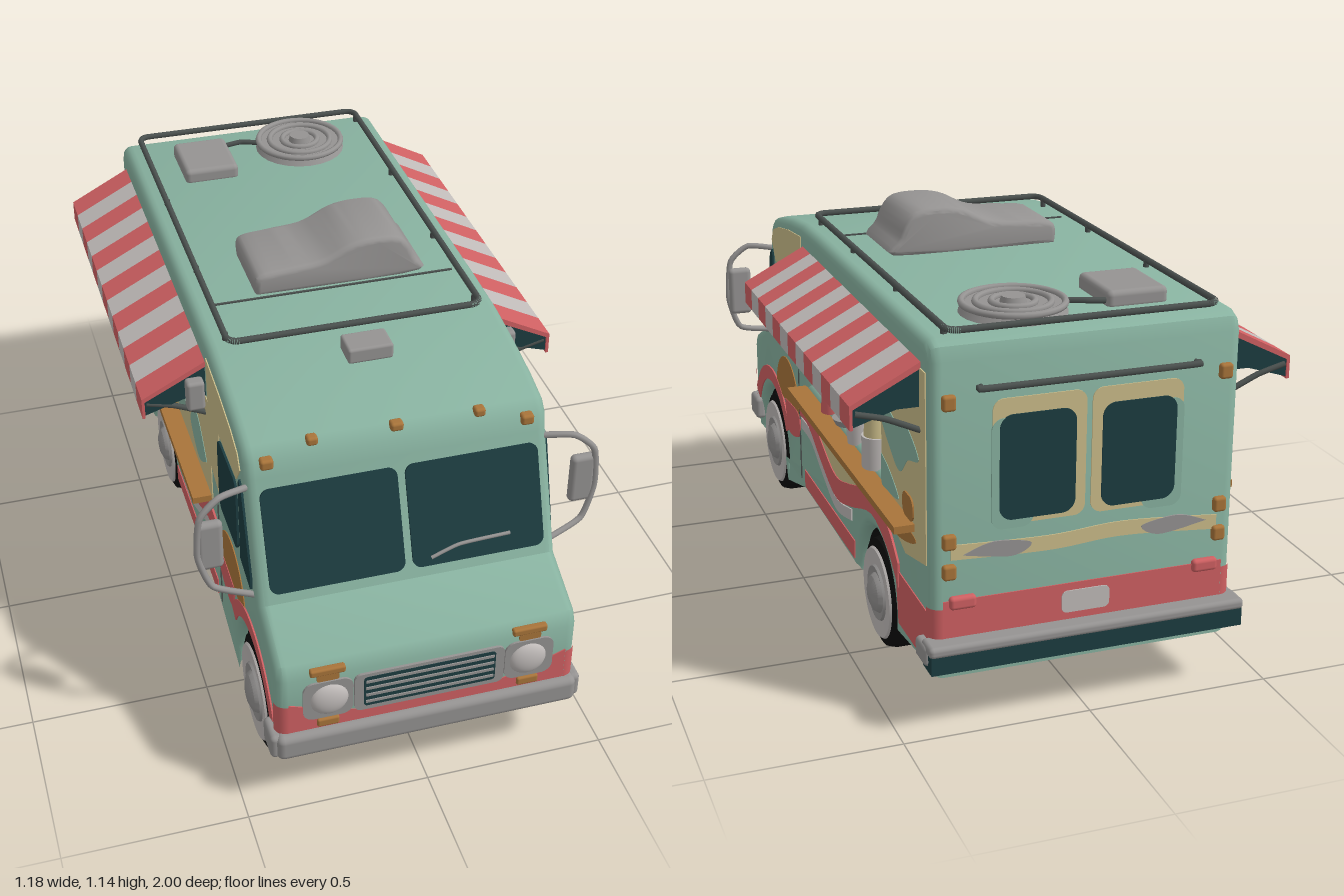
import * as THREE from 'three';
import { toCreasedNormals } from 'three/addons/utils/BufferGeometryUtils.js';
import { RoundedBoxGeometry } from 'three/addons/geometries/RoundedBoxGeometry.js';

const mat = (name, color, side = THREE.FrontSide) => {
  const m = new THREE.MeshStandardMaterial({ color, side });
  m.name = name;
  return m;
};
const V = (p) => new THREE.Vector2(p[0], p[1]);

// Shape helpers
const poly = (pts) => new THREE.Shape(pts.map(V));
const blob = (pts) => new THREE.Shape(new THREE.SplineCurve([...pts, pts[0]].map(V)).getPoints(40).slice(0, -1));
function ribbon(pts, w) {
  const c = new THREE.SplineCurve(pts.map(V)).getPoints(28);
  return poly([...c.map((p) => [p.x, p.y + w / 2]), ...c.reverse().map((p) => [p.x, p.y - w / 2])]);
}
function roundRect(cx, cy, w, h, r) {
  const s = new THREE.Shape(), a = w / 2 - r, b = h / 2 - r, q = Math.PI / 2;
  [[a, b], [-a, b], [-a, -b], [a, -b]].forEach(([x, y], i) => s.absarc(cx + x, cy + y, r, i * q, (i + 1) * q));
  return s;
}
const extrude = (shape, depth, opt = {}) =>
  toCreasedNormals(new THREE.ExtrudeGeometry(shape, { depth, bevelEnabled: false, curveSegments: 16, ...opt }), 0.7);

export function createModel() {
  const mint = mat('mint paint', 0x88b2a0), red = mat('coral red', 0xcf6062), cream = mat('cream', 0xcbbd8a);
  const orange = mat('amber wood', 0xa8743a), glass = mat('dark teal glass', 0x1c3c40), grey = mat('grey metal', 0x959392);
  const pale = mat('pale white', 0xc0bbb9), black = mat('black', 0x0c0c0c, THREE.DoubleSide), dark = mat('dark metal', 0x4a504e);
  const truck = new THREE.Group();
  truck.name = 'foodTruck';

  const add = (name, geo, m, x = 0, y = 0, z = 0) => {
    const mesh = new THREE.Mesh(geo, m);
    mesh.name = name;
    mesh.position.set(x, y, z);
    truck.add(mesh);
    return mesh;
  };
  const box = (name, m, w, h, d, x, y, z, r = 0) =>
    add(name, r ? new RoundedBoxGeometry(w, h, d, 3, r) : new THREE.BoxGeometry(w, h, d), m, x, y, z);
  const cyl = (name, m, r1, r2, h, x, y, z) => add(name, new THREE.CylinderGeometry(r1, r2, h, 24), m, x, y, z);
  const tube = (name, m, pts, r) =>
    add(name, new THREE.TubeGeometry(new THREE.CatmullRomCurve3(pts.map((p) => new THREE.Vector3(...p)), false, 'catmullrom', 0.3), 48, r, 8), m);

  // Thin painted plates on the sides, front and back
  const thick = (layer) => 0.003 + 0.0015 * layer;
  const sidePlate = (name, shape, m, s, layer = 0) => {
    const d = thick(layer);
    add(name, extrude(shape, d).rotateY(-Math.PI / 2), m, s > 0 ? 0.41 + d : -0.41);
  };
  const frontPlate = (name, shape, m, layer = 0) => add(name, extrude(shape, thick(layer)), m, 0, 0, 0.975);
  const backPlate = (name, shape, m, layer = 0) => add(name, extrude(shape, thick(layer)), m, 0, 0, -0.95 - thick(layer));
  // Paint wrapped round a vertical body corner
  const cornerPaint = (name, m, s, z, y0, y1, start) =>
    add(name, new THREE.CylinderGeometry(0.0335, 0.0335, y1 - y0, 8, 1, true, start, Math.PI / 2), m, s * 0.38, (y0 + y1) / 2, z);

  // Body shell: side profile with wheel arches and the serving hatch
  const wheels = [{ z: 0.715, r: 0.165, arch: 0.178 }, { z: -0.47, r: 0.155, arch: 0.168 }];
  const profile = new THREE.Shape();
  profile.moveTo(-0.95, 0.14);
  for (const w of [wheels[1], wheels[0]]) {
    profile.lineTo(w.z - w.arch * Math.cos(0.17), 0.14);
    profile.absarc(w.z, 0.17, w.arch, Math.PI + 0.17, -0.17, true);
  }
  [[0.945, 0.14], [0.975, 0.19], [0.975, 0.44], [0.955, 0.478], [0.80, 0.55], [0.68, 0.87], [0.672, 0.915], [0.64, 0.95],
    [0.55, 0.975], [0.42, 0.998], [0.28, 1.015], [0.1, 1.02], [-0.9, 1.02], [-0.935, 1.005], [-0.95, 0.97]]
    .forEach((p) => profile.lineTo(...p));
  profile.holes.push(new THREE.Path([[-0.52, 0.525], [-0.52, 0.795], [0.24, 0.795], [0.24, 0.525]].map(V)));
  add('body', extrude(profile, 0.76, { bevelEnabled: true, bevelThickness: 0.03, bevelSize: 0.03, bevelOffset: -0.03, bevelSegments: 4 })
    .rotateY(-Math.PI / 2), mint, 0.38);

  // Kitchen interior, open towards the hatch
  const room = new THREE.BoxGeometry(0.78, 0.266, 0.756);
  room.setIndex([...room.index.array].slice(6));
  add('kitchenInterior', room, black, 0, 0.66, -0.14);
  box('kitchenCabinet', dark, 0.1, 0.14, 0.1, 0.3, 0.62, 0.17);
  for (const z of [0.1, -0.12, -0.34]) cyl('hangingLamp', orange, 0.012, 0.035, 0.05, 0.25, 0.75, z);
  cyl('sauceBottle', red, 0.03, 0.036, 0.12, 0.39, 0.575, 0.02);
  cyl('cup', pale, 0.036, 0.03, 0.08, 0.39, 0.555, -0.245);
  cyl('jar', pale, 0.042, 0.042, 0.09, 0.39, 0.56, -0.43);
  cyl('jarFilling', cream, 0.032, 0.036, 0.055, 0.39, 0.632, -0.43);
  cyl('plate', grey, 0.05, 0.04, 0.02, 0.38, 0.535, -0.12);

  // Chassis and wheel wells
  box('chassis', black, 0.54, 0.28, 1.8, 0, 0.26, 0);
  for (const [a, b] of [[-0.92, -0.645], [-0.295, 0.53], [0.9, 0.94]]) box('underside', black, 0.77, 0.012, b - a, 0, 0.138, (a + b) / 2);
  for (const w of wheels) {
    add('wheelWell', new THREE.CylinderGeometry(w.arch - 0.003, w.arch - 0.003, 0.77, 32, 1, true, 0, Math.PI)
      .rotateZ(Math.PI / 2), black, 0, 0.17, w.z);
    cyl('axle', black, 0.03, 0.03, 0.6, 0, w.r, w.z).rotation.z = Math.PI / 2;
    // Tyre, whitewall ring and domed hub
    const lathe = (name, pts, m, s) => {
      const mesh = add(name, toCreasedNormals(new THREE.LatheGeometry(pts.map(V), 40), 0.6), m, s * 0.345, w.r + 0.004, w.z);
      mesh.rotation.z = -s * Math.PI / 2;
      mesh.scale.set(w.r / 0.165, 1, w.r / 0.165);
    };
    for (const s of [1, -1]) {
      lathe('tyre', [[0, -0.062], [0.14, -0.062], [0.158, -0.052], [0.165, -0.03], [0.165, 0.03], [0.158, 0.052], [0.14, 0.06], [0, 0.06]], black, s);
      lathe('whitewall', [[0.138, 0.058], [0.132, 0.066], [0.08, 0.062]], pale, s);
      lathe('hub', [[0.085, 0.06], [0.08, 0.069], [0.06, 0.064], [0.052, 0.076], [0.03, 0.085], [0, 0.088]], grey, s);
    }
  }

  for (const s of [1, -1]) {
    // Side mural
    sidePlate('creamCabPanel', poly([[0.27, 0.98], [0.42, 0.965], [0.55, 0.942], [0.62, 0.918], [0.645, 0.88], [0.6, 0.82], [0.4, 0.82], [0.37, 0.6], [0.28, 0.63]]), cream, s);
    const rear = s > 0 ? -0.92 : -0.84;
    sidePlate('creamRearPanel', poly([[-0.55, 0.94], [rear, 0.94], [rear, 0.44], [-0.75, 0.4], [-0.55, 0.47]]), cream, s);
    sidePlate('mintCloud', blob([[-0.55, 0.7], [-0.6, 0.75], [-0.68, 0.735], [-0.77, 0.755], [-0.87, 0.7], [-0.78, 0.665], [-0.71, 0.61], [-0.62, 0.65]]), mint, s, 1);
    sidePlate('mintRearPatch', blob([[-0.55, 0.6], [-0.62, 0.58], [-0.7, 0.53], [-0.6, 0.515], [-0.55, 0.52]]), mint, s, 1);
    const sun = new THREE.Shape();
    sun.absarc(0.5, 0.38, 0.148, 0, Math.PI);
    sidePlate('orangeSun', sun, orange, s);
    const fender = new THREE.Shape();
    fender.absarc(0.715, 0.17, 0.255, 0.45, Math.PI - 0.5);
    fender.absarc(0.715, 0.17, 0.209, Math.PI - 0.5, 0.45, true);
    sidePlate('redFender', fender, red, s, 1);
    sidePlate('redDoorPatch', blob([[0.53, 0.385], [0.36, 0.39], [0.355, 0.32], [0.44, 0.29], [0.5, 0.3]]), red, s, 1);
    sidePlate('orangeBand', blob([[-0.25, 0.47], [-0.55, 0.487], [-0.84, 0.475], [-0.7, 0.425], [-0.5, 0.43]]), orange, s, 1);
    sidePlate('creamWave', ribbon([[0.18, 0.46], [0, 0.395], [-0.15, 0.385], [-0.32, 0.44]], 0.06), cream, s);
    sidePlate('redWave', ribbon([[0.33, 0.43], [0.22, 0.43], [0.08, 0.37], [-0.08, 0.32], [-0.24, 0.355], [-0.45, 0.42], [-0.6, 0.38], [-0.69, 0.31]], 0.068), red, s, 2);
    sidePlate('paleWave', ribbon([[0.32, 0.375], [0.2, 0.37], [0.06, 0.31], [-0.08, 0.265], [-0.24, 0.295]], 0.035), pale, s, 1);
    sidePlate('redSill', poly([[0.3, 0.17], [0.3, 0.225], [-0.262, 0.225], [-0.262, 0.17]]), red, s);
    sidePlate('redRearSkirt', poly([[-0.682, 0.17], [-0.66, 0.32], [-0.92, 0.315], [-0.92, 0.17]]), red, s);
    sidePlate('doorSeam', poly([[0.345, 0.18], [0.35, 0.18], [0.35, 0.54], [0.345, 0.54]]), dark, s);
    cornerPaint('redFrontCorner', red, s, 0.945, 0.26, 0.355, s > 0 ? 0 : -Math.PI / 2);
    cornerPaint('redRearCorner', red, s, -0.92, 0.18, 0.33, s > 0 ? Math.PI / 2 : Math.PI);

    // Cab windows
    sidePlate('doorWindow', roundRect(0.495, 0.69, 0.21, 0.23, 0.03), glass, s, 2);
    sidePlate('quarterWindow', poly([[0.63, 0.58], [0.735, 0.56], [0.74, 0.6], [0.665, 0.83], [0.64, 0.85], [0.63, 0.83]]), glass, s, 2);

    // Striped awning with a front drop, end panels and arms
    const mirror = (pts) => poly(pts.map(([x, y]) => [x * s, y]));
    const cloth = mirror([[0.41, 0.955], [0.588, 0.862], [0.588, 0.8], [0.58, 0.8], [0.58, 0.852], [0.41, 0.938]]);
    const stripe = 1.13 / 13;
    for (let i = 0; i < 13; i++) add('awningStripe', extrude(cloth, stripe), i % 2 ? pale : red, 0, 0, -0.88 + i * stripe);
    const end = mirror([[0.41, 0.938], [0.58, 0.852], [0.58, 0.805], [0.47, 0.84], [0.41, 0.84]]);
    for (const z of [0.238, -0.876]) {
      add('awningEnd', extrude(end, 0.006), glass, 0, 0, z);
      tube('awningArm', dark, [[s * 0.41, 0.78, z], [s * 0.5, 0.82, z], [s * 0.575, 0.84, z]], 0.008);
    }
    box('sideLamp', grey, 0.05, 0.09, 0.04, s * 0.445, 0.87, 0.27, 0.01);

    // Serving shelf
    box('servingShelf', orange, 0.06, 0.02, 1.1, s * 0.437, 0.503, -0.28);
    sidePlate('servingBoard', roundRect(-0.785, 0.545, 0.085, 0.065, 0.025), orange, s, 3);

    // Wing mirror on a looped arm
    tube('mirrorArm', grey, [[s * 0.4, 0.845, 0.67], [s * 0.48, 0.85, 0.7], [s * 0.535, 0.8, 0.71], [s * 0.545, 0.68, 0.71], [s * 0.51, 0.58, 0.72], [s * 0.4, 0.55, 0.75]], 0.009);
    box('mirrorHead', grey, 0.07, 0.15, 0.03, s * 0.51, 0.705, 0.7, 0.014);

    // Windscreen pane
    const pane = add('windscreen', extrude(roundRect(s * 0.193, 0, 0.365, 0.285, 0.025), 0.006), glass, 0, 0.71, 0.74);
    pane.rotation.x = -0.359;

    // Headlamps and indicators
    frontPlate('redFrontBand', poly([[0, 0.2], [0, 0.3], [0.2 * s, 0.3], [0.3 * s, 0.33], [0.38 * s, 0.36], [0.38 * s, 0.2]]), red);
    frontPlate('lampSurround', roundRect(s * 0.275, 0.36, 0.135, 0.125, 0.03), grey, 2);
    const lamp = add('headlamp', new THREE.SphereGeometry(0.052, 24, 16), pale, s * 0.272, 0.36, 0.976);
    lamp.scale.z = 0.45;
    box('upperIndicator', orange, 0.095, 0.022, 0.02, s * 0.275, 0.453, 0.97, 0.006);
    frontPlate('indicatorBase', roundRect(s * 0.275, 0.435, 0.06, 0.02, 0.006), orange, 1);
    box('lowerIndicator', orange, 0.06, 0.026, 0.02, s * 0.275, 0.282, 0.976, 0.006);
    box('markerLamp', orange, 0.035, 0.03, 0.03, s * 0.35, 0.912, 0.672, 0.008);
    box('markerLamp', orange, 0.03, 0.025, 0.03, s * 0.225, 0.945, 0.65, 0.008);

    // Rear doors and lamps
    backPlate('rearWindowTrim', roundRect(s * 0.13, 0.7, 0.245, 0.33, 0.03), cream, 0);
    backPlate('rearDoorPaint', roundRect(s * 0.2, 0.67, 0.11, 0.29, 0.03), mint, 1);
    backPlate('rearWindow', roundRect(s * 0.135, 0.685, 0.2, 0.275, 0.035), glass, 2);
    for (const y of [0.87, 0.51, 0.43]) box('rearMarker', orange, 0.035, 0.04, 0.025, s * 0.365, y, -0.953, 0.008);
    box('tailLamp', red, 0.07, 0.035, 0.025, s * 0.33, 0.345, -0.953, 0.01);
    backPlate('greyPatch', blob([[s * 0.33, 0.47], [s * 0.25, 0.495], [s * 0.15, 0.48], [s * 0.2, 0.45]]), grey, 1);
  }
  box('markerLamp', orange, 0.035, 0.025, 0.03, 0, 0.945, 0.65, 0.008);
  tube('wiper', grey, [[0.06, 0.6, 0.79], [0.14, 0.625, 0.785], [0.28, 0.63, 0.783]], 0.005);

  // Closed panel on the side without a hatch
  sidePlate('closedPanel', poly([[0.28, 0.48], [0.28, 0.84], [-0.56, 0.84], [-0.56, 0.48]]), cream, -1);
  for (const z of [0.12, -0.14, -0.4]) sidePlate('mintPatch', blob([[z + 0.11, 0.6], [z, 0.69], [z - 0.1, 0.61], [z, 0.54]]), mint, -1, 1);

  // Grille and bumpers
  frontPlate('grilleFrame', roundRect(0, 0.36, 0.41, 0.125, 0.02), grey, 3);
  frontPlate('grilleOpening', roundRect(0, 0.362, 0.36, 0.1, 0.01), glass, 4);
  for (let i = 0; i < 4; i++) box('grilleBar', grey, 0.35, 0.008, 0.008, 0, 0.328 + i * 0.023, 0.983);
  box('frontBumper', grey, 0.83, 0.08, 0.06, 0, 0.222, 0.97, 0.02);
  box('rearBumper', grey, 0.86, 0.03, 0.075, 0, 0.235, -0.962, 0.012);
  box('rearBumperStep', glass, 0.85, 0.05, 0.068, 0, 0.2, -0.962);
  for (const s of [1, -1]) {
    box('frontBumperEnd', grey, 0.035, 0.075, 0.09, s * 0.413, 0.222, 0.94, 0.014);
    box('rearBumperEnd', grey, 0.03, 0.055, 0.08, s * 0.42, 0.215, -0.93, 0.012);
  }

  // Back panel details
  backPlate('redBackBand', poly([[-0.38, 0.18], [0.38, 0.18], [0.38, 0.35], [-0.38, 0.35]]), red);
  backPlate('creamBackStripe', ribbon([[-0.36, 0.46], [-0.1, 0.48], [0.1, 0.47], [0.36, 0.48]], 0.04), cream);
  backPlate('rearPlate', roundRect(0, 0.3, 0.13, 0.06, 0.015), pale, 2);
  tube('rearRail', dark, [[-0.28, 0.9, -0.95], [-0.27, 0.9, -0.965], [0.27, 0.9, -0.965], [0.28, 0.9, -0.95]], 0.009);

  // Roof rail with posts and a cross seam
  const rail = roundRect(0, -0.31, 0.71, 1.22, 0.03).getPoints(6).map((p) => new THREE.Vector3(p.x, 1.038, p.y));
  rail.forEach((a, i) => {
    const b = rail[(i + 1) % rail.length];
    if (a.distanceTo(b) > 1e-4) add('roofRail', new THREE.TubeGeometry(new THREE.LineCurve3(a, b), 1, 0.009, 8), dark);
  });
  for (const x of [-0.352, 0.352]) for (const z of [0.25, -0.1, -0.5, -0.88]) cyl('railPost', dark, 0.008, 0.008, 0.035, x, 1.02, z);
  box('roofSeam', dark, 0.69, 0.006, 0.006, 0, 1.021, 0.085);

  // Roof equipment
  const hood = blob([[-0.22, 1.015], [-0.215, 1.075], [-0.13, 1.088], [-0.03, 1.098], [0.05, 1.135], [0.12, 1.146], [0.2, 1.135], [0.24, 1.07], [0.235, 1.015]]);
  add('roofVentHood', extrude(hood, 0.21, { bevelEnabled: true, bevelThickness: 0.02, bevelSize: 0.015, bevelOffset: -0.015, bevelSegments: 3 }), grey, 0, 0, -0.16);
  box('rearRoofVent', grey, 0.165, 0.05, 0.2, -0.185, 1.035, -0.715, 0.015);
  box('frontRoofBox', grey, 0.125, 0.045, 0.085, 0, 1.02, 0.39, 0.008);
  cyl('fanBase', grey, 0.125, 0.14, 0.025, 0.13, 1.03, -0.76);
  for (const r of [0.13, 0.095, 0.055]) add('fanRing', new THREE.TorusGeometry(r, 0.009, 8, 40).rotateX(Math.PI / 2), grey, 0.13, 1.045, -0.76);
  cyl('fanHub', grey, 0.03, 0.035, 0.02, 0.13, 1.05, -0.76);
  tube('fanPipe', dark, [[-0.1, 1.035, -0.8], [-0.05, 1.04, -0.8], [0.0, 1.04, -0.78]], 0.008);
  return truck;
}
